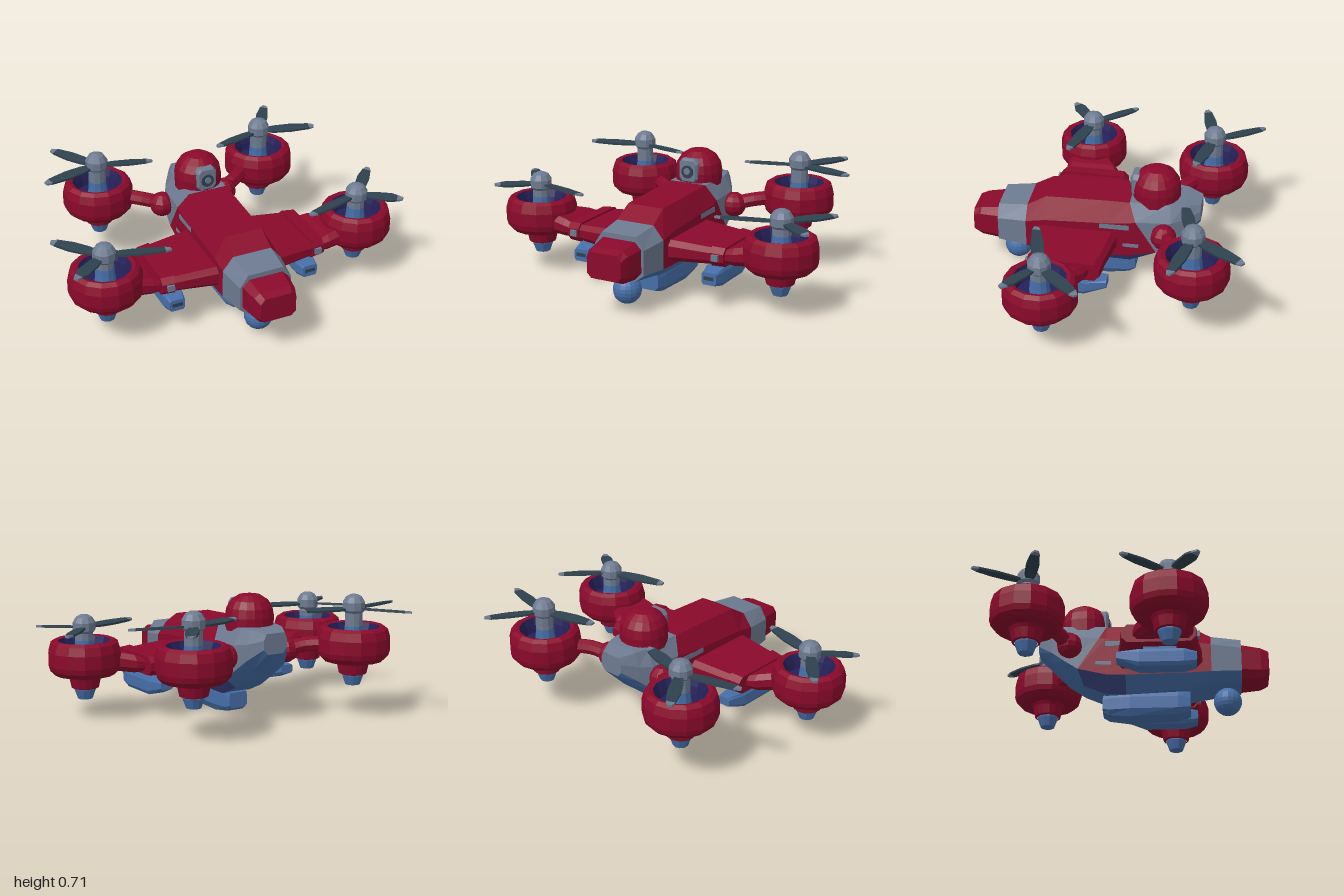
import * as THREE from 'three';

const flat = (name, color) => {
  const m = new THREE.MeshStandardMaterial({ color, flatShading: true });
  m.name = name;
  return m;
};

// Skin a list of closed rings; faces selects which strips to build
function loft(rings, faces = null, capFront = true, capBack = true) {
  const pos = [], n = rings[0].length;
  const tri = (a, b, c) => pos.push(...a, ...b, ...c);
  for (let i = 0; i < rings.length - 1; i++) {
    for (let k = 0; k < n; k++) {
      if (faces && !faces.includes(k)) continue;
      const j = (k + 1) % n, r = rings[i], s = rings[i + 1];
      tri(r[k], s[k], s[j]);
      tri(r[k], s[j], r[j]);
    }
  }
  const first = rings[0], last = rings[rings.length - 1];
  for (let k = 1; k < n - 1; k++) {
    if (capFront) tri(first[0], first[k], first[k + 1]);
    if (capBack) tri(last[0], last[k + 1], last[k]);
  }
  const g = new THREE.BufferGeometry();
  g.setAttribute('position', new THREE.Float32BufferAttribute(pos, 3));
  g.computeVertexNormals();
  return g;
}

// Octagonal hull section; z may be one value or [bottom, low, high, top]
function hull([z, wMid, wTop, wBot, yB, yL, yH, yT], cx = 0) {
  const [a, b, c, d] = Array.isArray(z) ? z : [z, z, z, z];
  return [[-wBot, yB, a], [wBot, yB, a], [wMid, yL, b], [wMid, yH, c],
    [wTop, yT, d], [-wTop, yT, d], [-wMid, yH, c], [-wMid, yL, b]].map(([x, y, q]) => [x + cx, y, q]);
}

// Chamfered section at a given x, for wings
const wingRing = (x, z0, z1, y0, y1, c) => [[z1 - c, y0], [z0 + c, y0], [z0, y0 + c], [z0, y1 - c],
  [z0 + c, y1], [z1 - c, y1], [z1, y1 - c], [z1, y0 + c]].map(([z, y]) => [x, y, z]);

// Reflect a geometry in x and restore its winding
function mirrorX(geo) {
  const g = geo.index ? geo.toNonIndexed() : geo.clone();
  const p = g.attributes.position;
  for (let i = 0; i < p.count; i += 3) {
    const t = [0, 1, 2].map(k => [-p.getX(i + k), p.getY(i + k), p.getZ(i + k)]);
    [t[0], t[2], t[1]].forEach((v, k) => p.setXYZ(i + k, ...v));
  }
  g.computeVertexNormals();
  return g;
}

const lathe = (pts, sides) => new THREE.LatheGeometry(pts.map(p => new THREE.Vector2(...p)), sides);

// Flat plate lying in the xz plane from an outline
function plate(outline, thick) {
  const g = new THREE.ExtrudeGeometry(new THREE.Shape(outline.map(p => new THREE.Vector2(...p))),
    { depth: thick, bevelEnabled: false });
  return g.rotateX(-Math.PI / 2).translate(0, -thick / 2, 0).rotateX(0.12);
}

export function createModel() {
  const model = new THREE.Group();
  model.name = 'quadRotorAircraft';
  const red = flat('crimson', 0x8a092b), grey = flat('slateGrey', 0x6d7a90), blue = flat('steelBlue', 0x466ea8);
  const dark = flat('bladeGrey', 0x2f414f), navy = flat('navy', 0x242058), indigo = flat('indigo', 0x3b4784);

  const add = (name, geo, mat) => {
    const m = new THREE.Mesh(geo, mat);
    m.name = name;
    model.add(m);
  };
  const pair = (name, geo, mat) => {
    add(name + 'Left', geo, mat);
    add(name + 'Right', mirrorX(geo), mat);
  };

  // Fuselage: nose, collar, red body, grey tail, blue belly
  const upper = [2, 3, 4, 5, 6], belly = [7, 0, 1];
  const collar = [0.65, 0.152, 0.105, 0.1, 0.185, 0.225, 0.365, 0.435];
  const shoulder = [0.48, 0.175, 0.115, 0.11, 0.165, 0.215, 0.38, 0.455];
  const split = [[-0.24, -0.27, -0.15, -0.11], 0.17, 0.115, 0.085, 0.18, 0.25, 0.44, 0.535];
  const body = [shoulder, [0.37, 0.175, 0.11, 0.1, 0.14, 0.21, 0.4, 0.52],
    [0, 0.175, 0.115, 0.09, 0.125, 0.205, 0.42, 0.533], [-0.11, 0.172, 0.115, 0.09, 0.125, 0.21, 0.43, 0.533], split];
  const tail = [split, [[-0.33, -0.35, -0.35, -0.34], 0.165, 0.12, 0.08, 0.24, 0.305, 0.45, 0.54],
    [-0.42, 0.13, 0.1, 0.075, 0.33, 0.37, 0.46, 0.54], [-0.505, 0.075, 0.06, 0.05, 0.41, 0.44, 0.49, 0.525]];
  const skin = (name, sections, faces, mat, front = false, back = false) =>
    add(name, loft(sections.map(s => hull(s)), faces, front, back), mat);
  skin('nose', [[0.805, 0.105, 0.08, 0.08, 0.225, 0.25, 0.34, 0.37],
    [0.76, 0.12, 0.09, 0.09, 0.205, 0.24, 0.36, 0.388], [0.63, 0.14, 0.1, 0.1, 0.195, 0.24, 0.37, 0.41]], null, red, true, true);
  skin('collar', [collar, shoulder], upper, grey, true);
  skin('bodyUpper', body, upper, red);
  skin('tailUpper', tail, upper, grey, false, true);
  skin('bellyFront', [collar, ...body.slice(0, 3)], belly, blue);
  skin('bellyMiddle', body.slice(2), [0], blue);
  skin('bellyMiddleSides', body.slice(2), [7, 1], indigo);
  skin('bellyRear', tail, belly, blue);
  pair('sidePatchUpper', new THREE.BoxGeometry(0.008, 0.03, 0.17).translate(0.172, 0.4, -0.03), grey);
  pair('sidePatchLower', new THREE.BoxGeometry(0.008, 0.022, 0.09).translate(0.17, 0.282, -0.125), grey);

  // Keel pod and ball sensor
  skin('keel', [[0.36, 0.07, 0.065, 0.05, 0.03, 0.05, 0.1, 0.15], [0.29, 0.082, 0.075, 0.06, 0.01, 0.04, 0.11, 0.15],
    [0.02, 0.082, 0.075, 0.06, 0, 0.04, 0.11, 0.15], [-0.1, 0.07, 0.065, 0.05, 0.015, 0.04, 0.11, 0.15],
    [-0.135, 0.06, 0.055, 0.045, 0.035, 0.05, 0.1, 0.125]], null, blue, true, true);
  add('sensorBall', new THREE.SphereGeometry(0.08, 16, 12).translate(0, 0.1, 0.57), blue);

  // Domed turret with its camera eye
  add('turretDome', lathe([[0.135, 0.51], [0.137, 0.585], [0.128, 0.635], [0.103, 0.675], [0.06, 0.703], [0, 0.713]], 18)
    .translate(0, 0, -0.247), red);
  skin('turretEye', [[-0.108, 0.05, 0.035, 0.035, 0.545, 0.565, 0.645, 0.665],
    [-0.12, 0.06, 0.04, 0.04, 0.535, 0.56, 0.65, 0.675], [-0.2, 0.06, 0.04, 0.04, 0.535, 0.56, 0.65, 0.675]], null, grey, true, true);
  add('turretLensRing', new THREE.CylinderGeometry(0.038, 0.038, 0.008, 12).rotateX(Math.PI / 2).translate(0, 0.6, -0.104), dark);
  add('turretLens', new THREE.CylinderGeometry(0.02, 0.02, 0.008, 10).rotateX(Math.PI / 2).translate(0, 0.605, -0.098), grey);

  // Wings, end bands, pylons and underwing pods
  pair('wing', loft([wingRing(0.49, 0.0, 0.39, 0.26, 0.345, 0.025), wingRing(0.14, -0.05, 0.435, 0.24, 0.365, 0.03)]), red);
  pair('wingBand', loft([wingRing(0.495, -0.005, 0.4, 0.25, 0.355, 0.03), wingRing(0.42, -0.015, 0.41, 0.25, 0.36, 0.03)]), red);
  pair('frontPylon', loft([wingRing(0.64, 0.14, 0.38, 0.27, 0.38, 0.03), wingRing(0.54, 0.07, 0.385, 0.26, 0.36, 0.03),
    wingRing(0.47, 0.05, 0.38, 0.27, 0.335, 0.02)]), red);
  pair('wingLamp', new THREE.BoxGeometry(0.04, 0.035, 0.03).translate(0.45, 0.305, 0.405), grey);
  pair('underwingPod', loft([[0.4, 0.045, 0.035, 0.035, 0.14, 0.155, 0.2, 0.21],
    [0.33, 0.058, 0.05, 0.045, 0.125, 0.145, 0.205, 0.225], [0.09, 0.058, 0.05, 0.045, 0.125, 0.145, 0.205, 0.225],
    [-0.035, 0.04, 0.03, 0.03, 0.17, 0.18, 0.21, 0.22]].map(s => hull(s, 0.41))), blue);
  pair('podIntake', new THREE.BoxGeometry(0.06, 0.02, 0.008).translate(0.41, 0.178, 0.4), dark);
  pair('podStrut', new THREE.BoxGeometry(0.05, 0.07, 0.18).translate(0.41, 0.24, 0.2), blue);

  // Rear arms with ball joints
  const arm = new THREE.CatmullRomCurve3([[0.13, 0.385, -0.29], [0.21, 0.39, -0.33], [0.29, 0.41, -0.365], [0.39, 0.42, -0.44]]
    .map(p => new THREE.Vector3(...p)));
  pair('rearArm', new THREE.TubeGeometry(arm, 8, 0.042, 8), red);
  pair('rearArmJoint', new THREE.SphereGeometry(0.073, 10, 8).translate(0.2, 0.382, -0.315), red);

  // Four ducted rotors: blades are [tip x, tip z] offsets from the hub
  const rotors = [
    { name: 'front', x: 0.77, y: 0.25, z: 0.262, lift: 0, blades: [[0.215, -0.24], [0.215, 0.155], [-0.345, 0.095]] },
    { name: 'rear', x: 0.524, y: 0.323, z: -0.515, lift: 0.035, blades: [[0.18, -0.28], [0.335, 0.083], [-0.31, 0.083]] }];
  for (const { name, x, y, z, lift, blades } of rotors) {
    const put = (part, geo, mat) => pair(name + part, geo.translate(x, y, z), mat);
    put('Duct', lathe([[0.065, -0.08], [0.078, -0.075], [0.09, -0.02], [0.1, 0], [0.17, 0.002], [0.197, 0.03], [0.206, 0.06],
      [0.206, 0.135], [0.192, 0.182], [0.168, 0.198], [0.146, 0.192]], 14), red);
    put('DuctLining', lathe([[0.146, 0.192], [0.13, 0.15], [0.12, 0.11], [0, 0.11]], 14), navy);
    put('ExhaustCone', lathe([[0, -0.142], [0.042, -0.14], [0.062, -0.085], [0.062, -0.07]], 10), blue);
    put('HubBase', lathe([[0.06, 0.1], [0.054, 0.15], [0.051, 0.195]], 10), blue);
    put('Hub', lathe([[0.051, 0.195], [0.05, 0.235 + lift], [0.064, 0.25 + lift], [0.064, 0.295 + lift],
      [0.045, 0.325 + lift], [0.02, 0.338 + lift], [0, 0.34 + lift]], 10), grey);
    blades.forEach(([dx, dz], i) => {
      const L = Math.hypot(dx, dz), t = L - 0.03, turn = Math.atan2(-dz, dx), by = 0.268 + lift * 0.7;
      put('Blade' + (i + 1), plate([[0.03, -0.018], [0.1, -0.032], [0.2, -0.036], [t, -0.024],
        [t, 0.024], [0.2, 0.036], [0.1, 0.032], [0.03, 0.018]], 0.012).rotateY(turn).translate(0, by, 0), dark);
      put('BladeTip' + (i + 1), plate([[t, -0.024], [L, -0.014], [L + 0.005, 0.008], [t, 0.024]], 0.012)
        .rotateY(turn).translate(0, by, 0), grey);
    });
  }
  return model;
}
